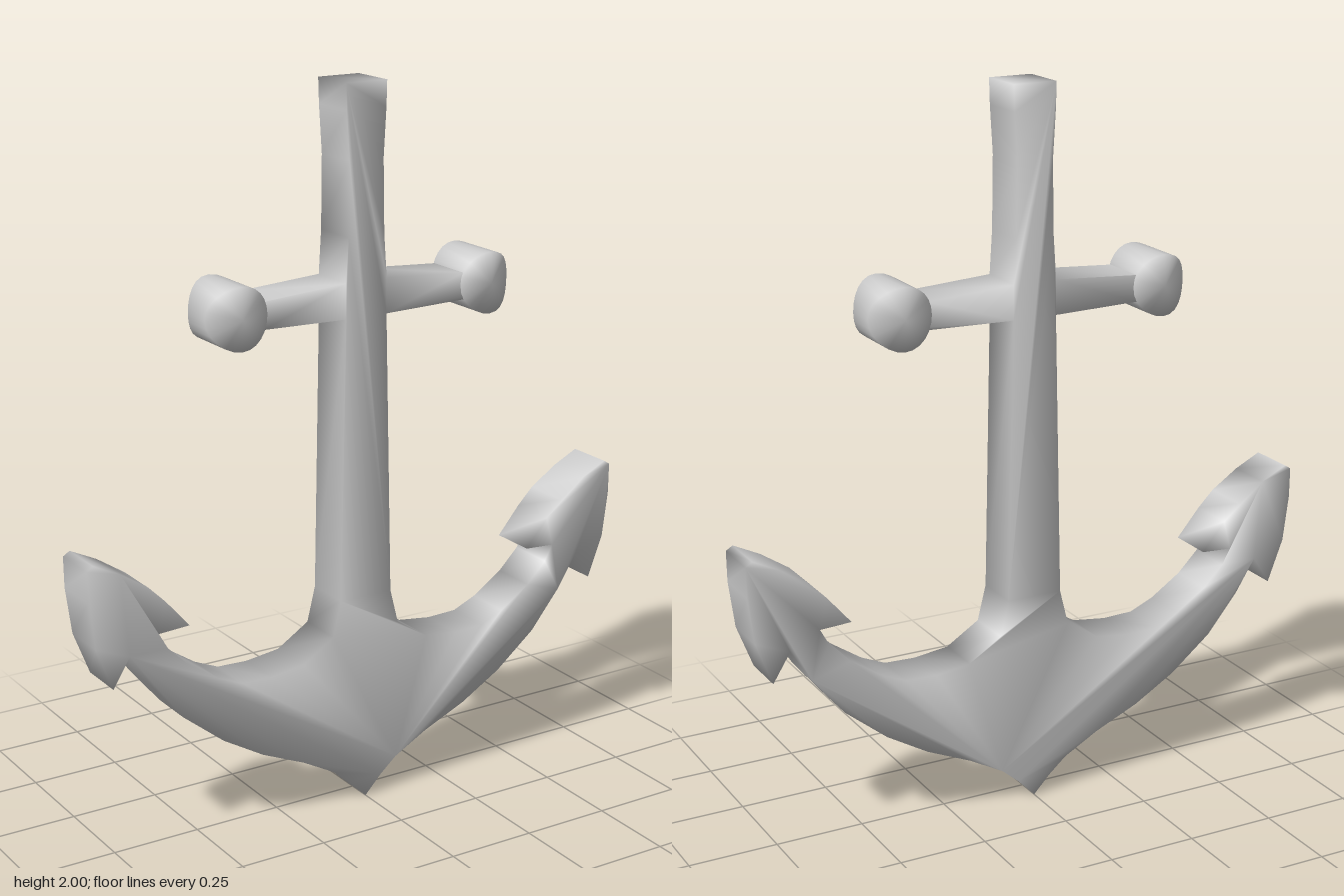
import * as THREE from 'three';
import { mergeVertices } from 'three/addons/utils/BufferGeometryUtils.js';

const iron = new THREE.MeshStandardMaterial({ color: 0xcccccc });
iron.name = 'iron';

const HALF_DEPTH = 0.068;
const KNOB_X = 0.385, KNOB_Y = 1.43, KNOB_R = 0.085;

// Weld all corners so the shading rolls softly over the edges
function soften(geometry) {
  geometry.deleteAttribute('uv');
  geometry.deleteAttribute('normal');
  const welded = mergeVertices(geometry, 1e-4);
  welded.computeVertexNormals();
  return welded;
}

// Left half of the outline, from the top of the shank to the crown point
const halfOutline = [
  // shank top and stock
  [0.062, 2], [0.06, 1.93], [0.052, 1.8], [0.055, 1.6], [0.063, 1.48],
  [0.31, 1.464], [0.36, 1.46], [0.36, 1.4], [0.31, 1.39], [0.063, 1.384],
  // lower shank and upper edge of the arm
  [0.08, 0.6], [0.105, 0.5], [0.2, 0.44], [0.3, 0.427], [0.39, 0.43],
  [0.46, 0.46], [0.55, 0.52], [0.61, 0.58], [0.635, 0.625],
  // fluke
  [0.545, 0.63], [0.613, 0.71], [0.66, 0.757], [0.74, 0.81], [0.815, 0.847],
  [0.834, 0.835], [0.833, 0.75], [0.816, 0.62], [0.77, 0.5], [0.72, 0.58],
  // lower edge of the arm and crown
  [0.66, 0.485], [0.57, 0.375], [0.45, 0.278], [0.33, 0.207], [0.2, 0.15],
  [0.1, 0.095], [0.05, 0.052],
];

function createBody() {
  const right = halfOutline.map(([x, y]) => new THREE.Vector2(x, y));
  const left = halfOutline.map(([x, y]) => new THREE.Vector2(-x, y)).reverse();
  const shape = new THREE.Shape([...right, new THREE.Vector2(0, 0), ...left]);
  const geometry = new THREE.ExtrudeGeometry(shape, {
    depth: HALF_DEPTH * 2, bevelEnabled: false, steps: 1,
  });
  geometry.translate(0, 0, -HALF_DEPTH);
  const body = new THREE.Mesh(soften(geometry), iron);
  body.name = 'shankStockAndArms';
  return body;
}

// Round knob, thick in the middle and thinner towards its sides
function createKnob(side) {
  const geometry = new THREE.CylinderGeometry(KNOB_R, KNOB_R, 2, 24, 1);
  geometry.rotateX(Math.PI / 2);
  const p = geometry.attributes.position;
  for (let i = 0; i < p.count; i++) {
    const x = p.getX(i) * side / KNOB_R;
    const onRim = Math.hypot(p.getX(i), p.getY(i)) > KNOB_R / 2;
    const drop = x > 0 ? 0.042 : 0.018;
    p.setZ(i, Math.sign(p.getZ(i)) * (onRim ? 0.086 - drop * x * x : 0.094));
  }
  const knob = new THREE.Mesh(soften(geometry), iron);
  knob.position.set(side * KNOB_X, KNOB_Y, 0);
  knob.name = side > 0 ? 'leftKnob' : 'rightKnob';
  return knob;
}

export function createModel() {
  const anchor = new THREE.Group();
  anchor.name = 'anchor';
  anchor.add(createBody(), createKnob(1), createKnob(-1));
  return anchor;
}
